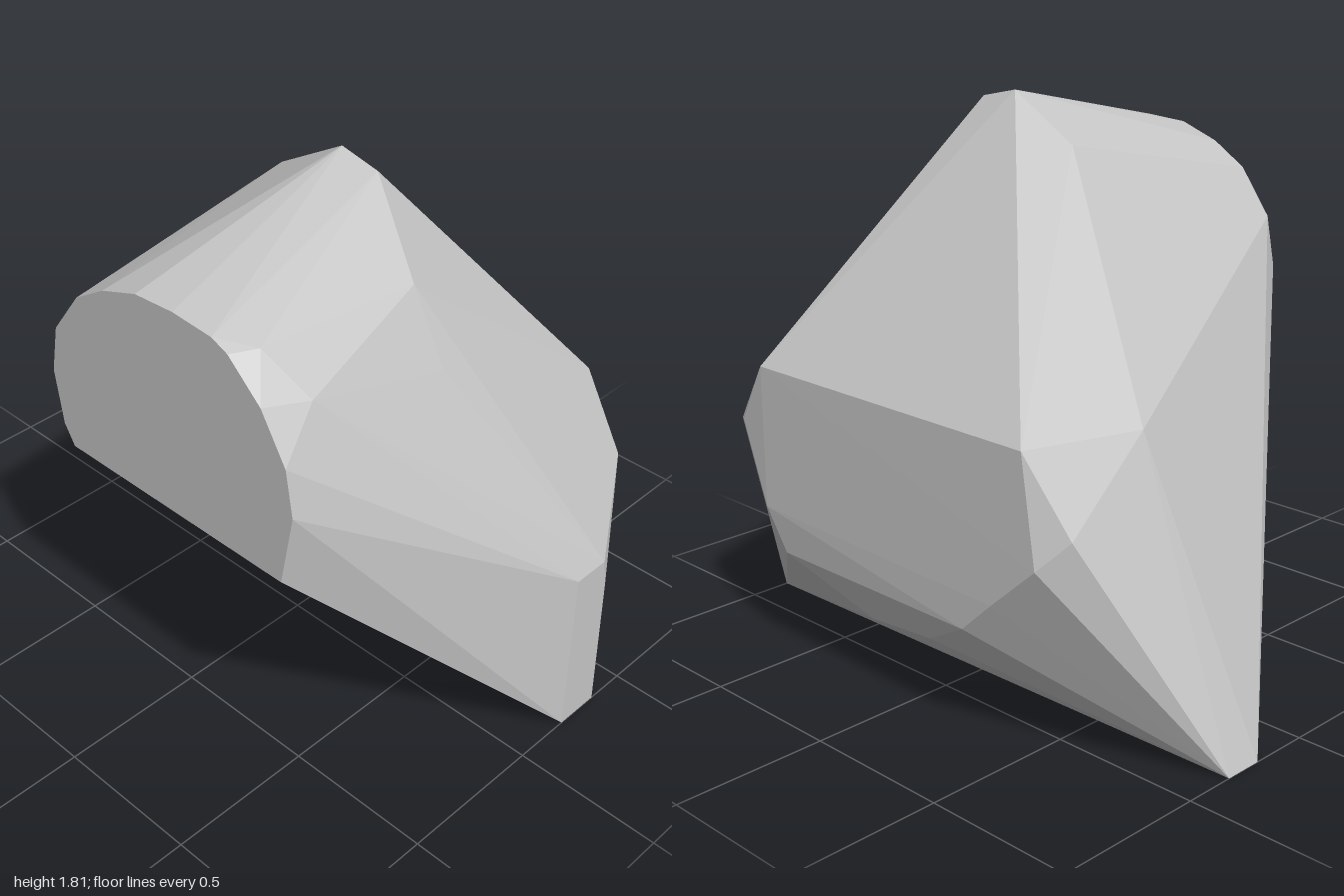
import * as THREE from 'three';
import { ConvexGeometry } from 'three/addons/geometries/ConvexGeometry.js';

const v = (x, y, z) => new THREE.Vector3(x, y, z);

export function createModel() {
  const group = new THREE.Group();
  group.name = 'boulder';
  const stone = new THREE.MeshStandardMaterial({ color: 0xc6c6c6 });
  stone.name = 'stoneGrey';

  // Rounded flat front face, cut straight along its lower edge
  const frontRim = [
    [-0.23, 0.955], [0.65, 0.955], [0.695, 1.2], [0.67, 1.35], [0.58, 1.5],
    [0.46, 1.61], [0.4, 1.635], [0.25, 1.645], [0.1, 1.635], [-0.04, 1.585],
    [-0.16, 1.51], [-0.27, 1.36], [-0.3, 1.2], [-0.27, 1.02],
  ].map(([x, y]) => v(x, y, 0.72));

  // Narrow strip the rock stands on
  const base = [
    v(-1, 0, -0.2), v(-1, 0, -0.33), v(-0.8, 0, -0.175),
    v(1, 0, -0.2), v(1, 0, -0.36),
  ];

  // Small upright facet on the left side
  const sideFacet = [v(1, 0.5, -0.35), v(1, 0.6, -0.33), v(1, 0.6, -0.2)];

  // Top ridge and shoulders
  const ridge = [
    v(-0.12, 1.665, -0.055), v(0.13, 1.81, -0.05), v(0.27, 1.78, -0.05),
    v(0.55, 1.59, 0.1), v(0.67, 1.36, 0.1),
    v(0.5, 1.61, 0.64), v(0.63, 1.48, 0.58), v(-0.65, 0.955, -0.32),
  ];

  // Back edge and the chipped curve beneath it
  const back = [
    v(-0.545, 0.96, -0.7), v(0.62, 0.96, -0.7), v(0.73, 0.76, -0.695),
    v(0.8, 0.74, -0.65), v(-0.69, 0.72, -0.65), v(-0.61, 0.63, -0.715),
    v(0.6, 0.5, -0.715), v(0.52, 0.36, -0.705), v(0.14, 0.24, -0.67),
    v(-0.14, 0.27, -0.685), v(-0.32, 0.37, -0.72), v(-0.44, 0.48, -0.72),
  ];

  const rock = new THREE.Mesh(
    new ConvexGeometry([...frontRim, ...base, ...sideFacet, ...ridge, ...back]),
    stone
  );
  rock.name = 'rock';
  group.add(rock);
  return group;
}
